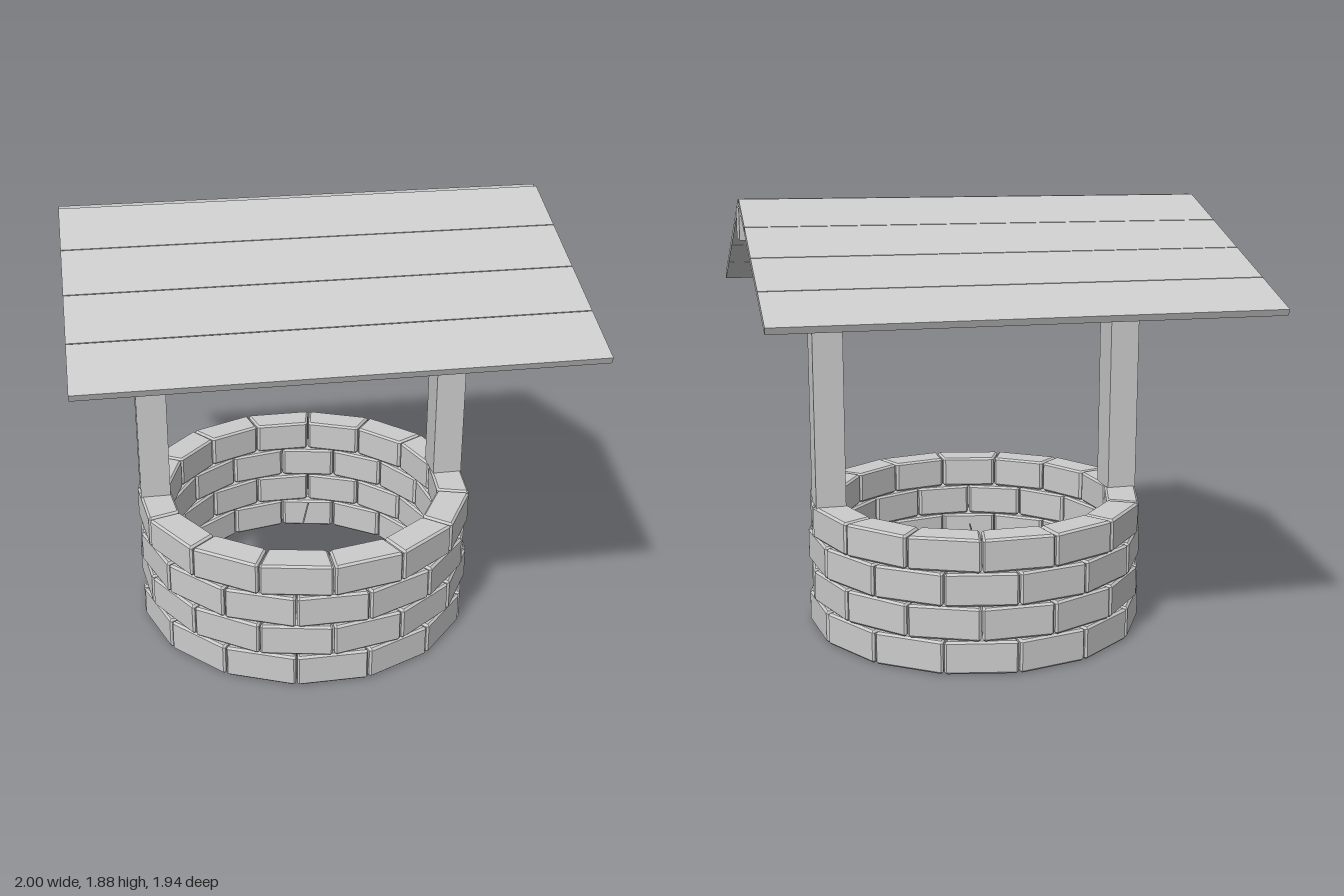
import * as THREE from 'three';

const grey = new THREE.MeshStandardMaterial({ color: 0xcccccc, flatShading: true });

function box(name, x0, x1, y0, y1, z0, z1) {
  const mesh = new THREE.Mesh(new THREE.BoxGeometry(x1 - x0, y1 - y0, z1 - z0), grey);
  mesh.position.set((x0 + x1) / 2, (y0 + y1) / 2, (z0 + z1) / 2);
  mesh.name = name;
  return mesh;
}

// Wedge-shaped brick with chamfered edges, its middle facing +z, its base on y = 0
function brickGeometry(inner, outer, angle, height) {
  const bevel = 0.009, gap = 0.003, chamfer = 0.009;
  const corner = (r, s) => new THREE.Vector2(
    s * (r * Math.sin(angle / 2) - gap), r * Math.cos(angle / 2));
  const corners = [corner(inner, -1), corner(inner, 1), corner(outer, 1), corner(outer, -1)];
  const points = [];
  corners.forEach((p, i) => {
    for (const q of [corners[(i + 3) % 4], corners[(i + 1) % 4]]) {
      points.push(p.clone().add(q.clone().sub(p).setLength(chamfer)));
    }
  });
  const geometry = new THREE.ExtrudeGeometry(new THREE.Shape(points), {
    depth: height - 2 * bevel, bevelEnabled: true, bevelSegments: 1,
    bevelThickness: bevel, bevelSize: bevel, bevelOffset: -bevel,
  });
  geometry.translate(0, 0, bevel);
  geometry.rotateX(-Math.PI / 2);
  geometry.rotateY(Math.PI);
  return geometry;
}

export function createModel() {
  const model = new THREE.Group();
  model.name = 'well';

  // Round wall: four courses of fifteen bricks, every other one turned by half a brick
  const count = 15, step = (2 * Math.PI) / count, pitch = 0.1443;
  const wall = new THREE.Group();
  wall.name = 'brickWall';
  wall.position.set(-0.011, 0, 0.034);
  const brick = brickGeometry(0.605, 0.747, step, 0.141);
  for (let row = 0; row < 4; row++) {
    const course = new THREE.Group();
    course.name = 'brickCourse';
    course.position.y = row * pitch;
    for (let i = 0; i < count; i++) {
      const mesh = new THREE.Mesh(brick, grey);
      mesh.name = 'brick';
      mesh.rotation.y = (i + (row % 2) / 2) * step;
      course.add(mesh);
    }
    wall.add(course);
  }
  model.add(wall);

  // Two posts carrying the ridge beam
  model.add(box('rightPost', -0.742, -0.612, 0.57, 1.722, -0.08, 0.065));
  model.add(box('leftPost', 0.588, 0.718, 0.57, 1.722, -0.08, 0.065));
  model.add(box('ridgeBeam', -0.995, 1, 1.722, 1.852, -0.08, 0.065));

  // Roof: four planks on each slope, running down from the ridge
  const slope = Math.atan(0.417), thick = 0.028, plankPitch = 0.2585;
  for (const side of [1, -1]) {
    const roof = new THREE.Group();
    roof.name = side > 0 ? 'frontRoof' : 'backRoof';
    roof.position.set(-0.003, 1.885, side * 0.018);
    roof.rotation.x = side * slope;
    for (let i = 0; i < 4; i++) {
      const z0 = side * i * plankPitch, z1 = side * (i * plankPitch + 0.2545);
      roof.add(box('roofPlank', -0.997, 0.997, -thick, 0, Math.min(z0, z1), Math.max(z0, z1)));
    }
    model.add(roof);
  }

  // Thin stick inside the shaft
  const a = new THREE.Vector3(-0.01, 0.34, 0.02), b = new THREE.Vector3(0.02, 0.43, -0.01);
  const stick = new THREE.Mesh(new THREE.CylinderGeometry(0.004, 0.004, a.distanceTo(b), 6), grey);
  stick.name = 'stick';
  stick.position.copy(a).lerp(b, 0.5);
  stick.quaternion.setFromUnitVectors(new THREE.Vector3(0, 1, 0), b.clone().sub(a).normalize());
  model.add(stick);

  return model;
}
